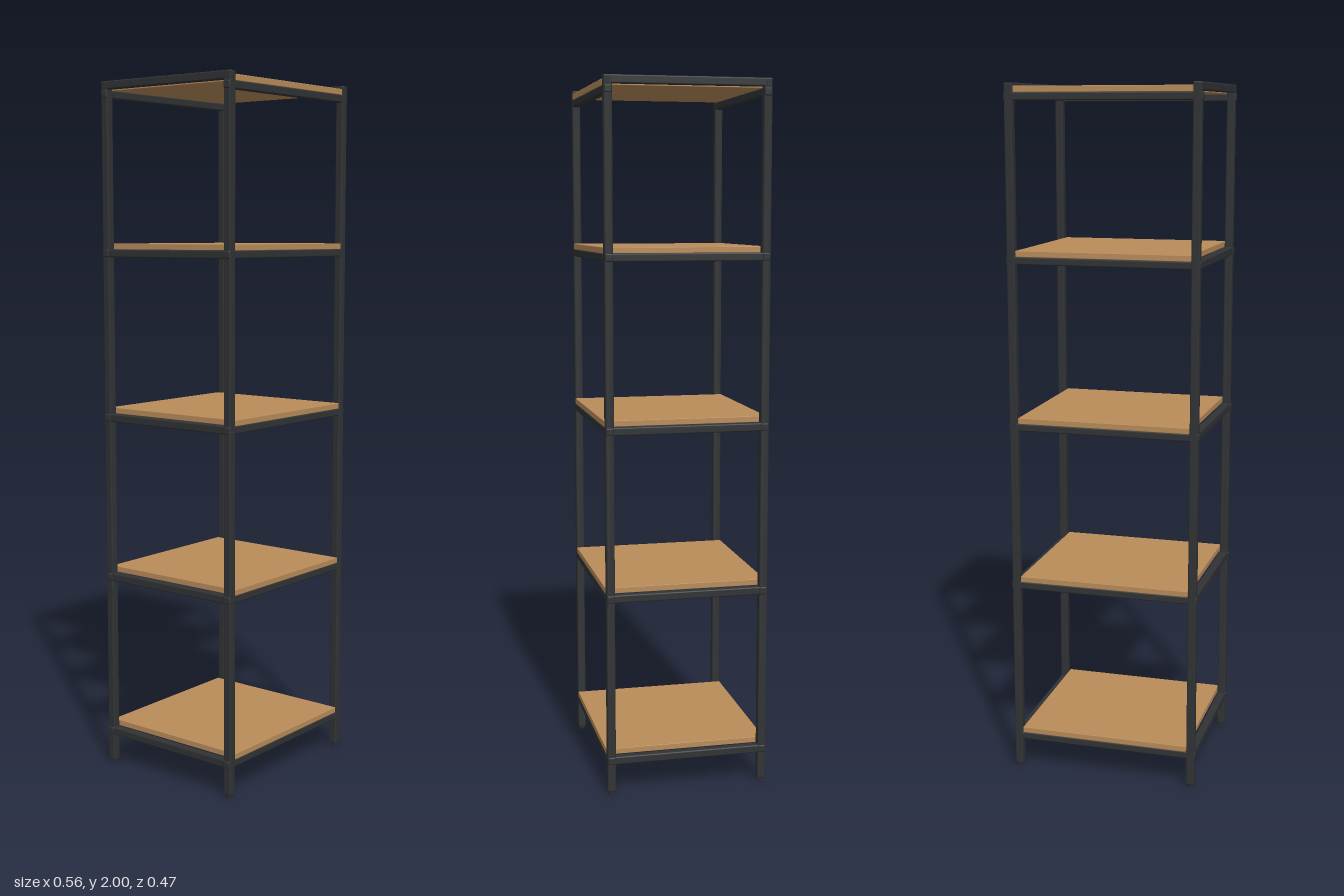
import * as THREE from 'three';
import { RoundedBoxGeometry } from 'three/addons/geometries/RoundedBoxGeometry.js';

export function createModel() {
  const metal = new THREE.MeshStandardMaterial({ color: 0x303234 });
  metal.name = 'dark metal';
  const wood = new THREE.MeshStandardMaterial({ color: 0xb98c5a });
  wood.name = 'oak wood';

  const model = new THREE.Group();
  model.name = 'shelfUnit';

  // box given by its centre and size, with slightly rounded edges
  function bar(name, material, [w, h, d], [x, y, z], radius, parent = model) {
    const mesh = new THREE.Mesh(new RoundedBoxGeometry(w, h, d, 2, radius), material);
    mesh.position.set(x, y, z);
    mesh.name = name;
    parent.add(mesh);
  }

  const TUBE = 0.024, PX = 0.263, PZ = 0.221;

  // four posts with small feet
  for (const sx of [-1, 1]) {
    for (const sz of [-1, 1]) {
      bar('post', metal, [TUBE, 1.992, TUBE], [sx * PX, 1.004, sz * PZ], 0.004);
      const foot = new THREE.Mesh(new THREE.CylinderGeometry(0.01, 0.008, 0.012, 16), metal);
      foot.position.set(sx * PX, 0.006, sz * PZ);
      foot.name = 'foot';
      model.add(foot);
    }
  }

  // five levels: a board on a tube frame; the top side rails are flush with the posts
  const boardTops = [0.127, 0.6, 1.073, 1.547, 1.991];
  boardTops.forEach((top, i) => {
    const level = new THREE.Group();
    level.name = 'shelfLevel';
    model.add(level);
    const isTop = i === boardTops.length - 1;
    const railY = top - 0.0275;
    bar('board', wood, [0.498, 0.017, 0.465], [0, top - 0.0085, 0], 0.0015, level);
    for (const s of [-1, 1]) {
      bar('crossRail', metal, [0.555, 0.022, 0.022], [0, railY, s * PZ], 0.004, level);
      bar('sideRail', metal, [TUBE, 0.023, 0.464], [s * PX, isTop ? 1.9885 : railY, 0], 0.004, level);
    }
  });

  return model;
}
